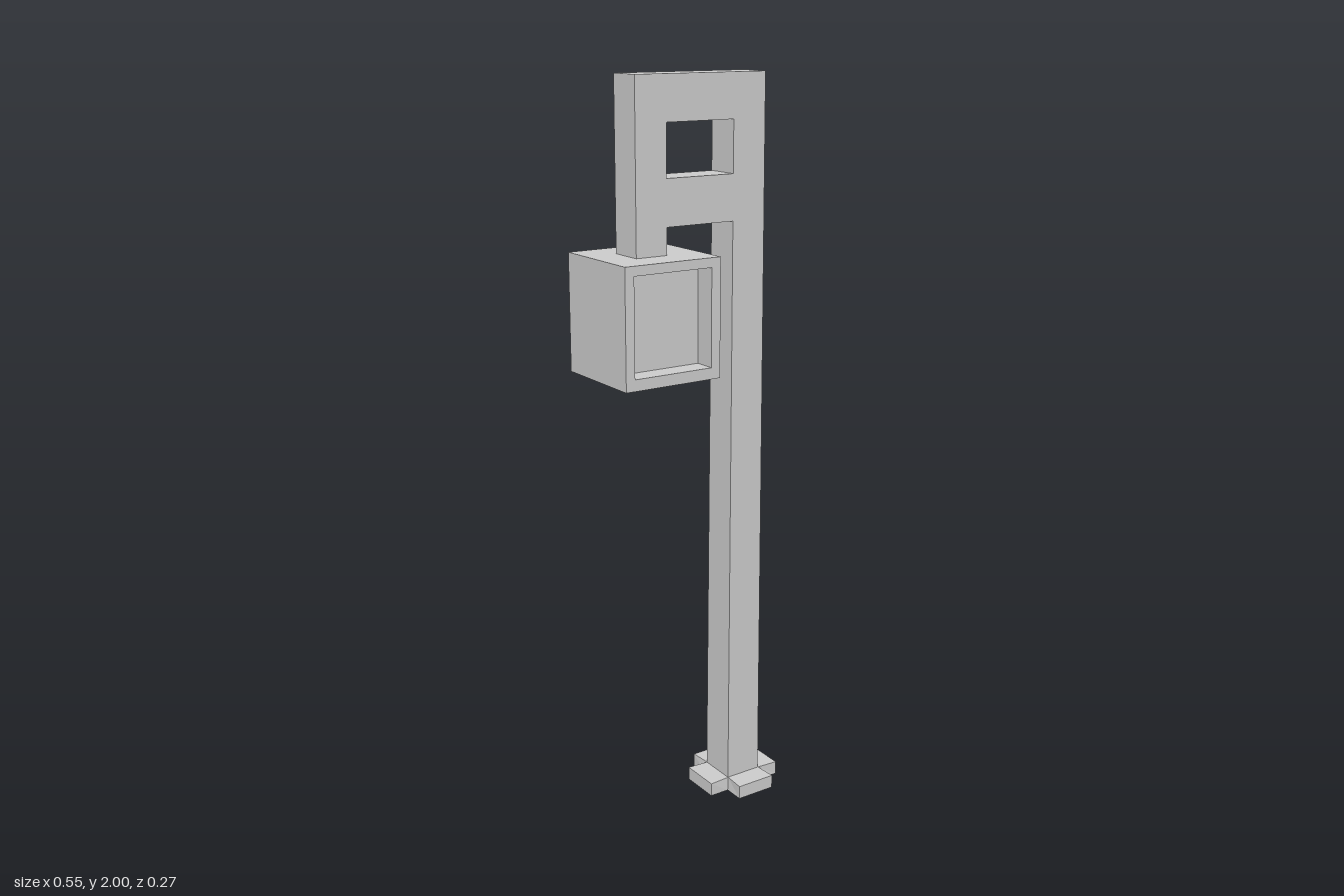
import * as THREE from 'three';

const material = new THREE.MeshStandardMaterial({ color: 0xcccccc, flatShading: true });

const points = (list) => list.map(([x, y]) => new THREE.Vector2(x, y));
const rect = (x0, y0, x1, y1) => points([[x0, y0], [x1, y0], [x1, y1], [x0, y1]]);

// Extrudes an outline with optional holes from z0 to z1
function extrude(outline, holes, z0, z1) {
  const shape = new THREE.Shape(outline);
  for (const hole of holes) shape.holes.push(new THREE.Path(hole));
  return new THREE.ExtrudeGeometry(shape, { depth: z1 - z0, bevelEnabled: false }).translate(0, 0, z0);
}

// Moves every vertex by a rule
function reshape(geometry, rule) {
  const p = geometry.attributes.position;
  const v = new THREE.Vector3();
  for (let i = 0; i < p.count; i++) {
    rule(v.fromBufferAttribute(p, i));
    p.setXYZ(i, v.x, v.y, v.z);
  }
  geometry.computeVertexNormals();
  return geometry;
}

export function createModel() {
  const group = new THREE.Group();
  const add = (name, geometry) => {
    const mesh = new THREE.Mesh(geometry, material);
    mesh.name = name;
    group.add(mesh);
    return mesh;
  };

  // Post, top beam, cross beam and hanger as one frame
  const outline = points([
    [0.107, 0.035], [0.204, 0.035], [0.204, 2], [-0.185, 2],
    [-0.185, 1.555], [-0.095, 1.555], [-0.095, 1.63], [0.107, 1.63],
  ]);
  const frame = extrude(outline, [rect(-0.095, 1.75, 0.107, 1.885)], -0.05, 0.046);
  // The post widens slightly towards its foot
  add('postAndArm', reshape(frame, (v) => {
    if (v.y > 0.1) return;
    v.x += v.x > 0.155 ? 0.005 : -0.004;
    v.z += v.z > 0 ? 0.006 : -0.005;
  }));

  // Cross-shaped foot; the inner corners lean in towards the post at the top
  const a = 0.0575, b = 0.115;
  const cross = points([
    [a, -b], [a, -a], [b, -a], [b, a], [a, a], [a, b],
    [-a, b], [-a, a], [-b, a], [-b, -a], [-a, -a], [-a, -b],
  ]);
  const foot = reshape(extrude(cross, [], 0, 0.038).rotateX(-Math.PI / 2), (v) => {
    if (v.y > 0.02 && Math.abs(v.x) < 0.06 && Math.abs(v.z) < 0.06) {
      v.x *= 0.93;
      v.z *= 0.93;
    }
  });
  add('crossFoot', foot).position.set(0.157, 0, -0.001);

  // Lamp housing, open at front and back
  add('lampHousing', extrude(
    rect(-0.273, 1.25, 0.007, 1.56),
    [rect(-0.247, 1.28, -0.02, 1.535)], -0.138, 0.135));

  // Panel set back inside the housing
  add('lampPanel', new THREE.BoxGeometry(0.227, 0.255, 0.113)).position.set(-0.1335, 1.4075, 0.0185);

  return group;
}
